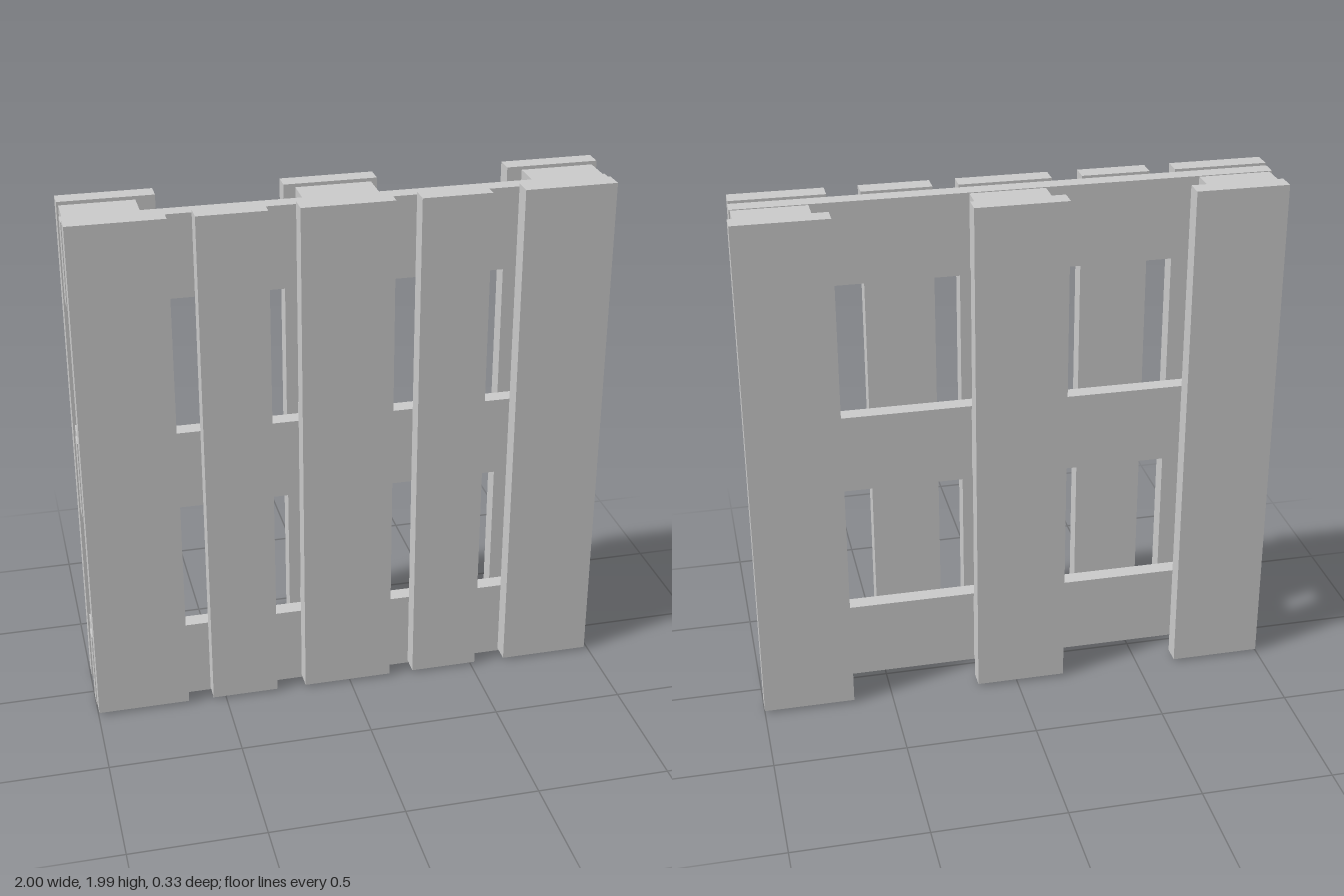
import * as THREE from 'three';

export function createModel() {
  const pallet = new THREE.Group();
  pallet.name = 'pallet';
  const material = new THREE.MeshStandardMaterial({ color: 0xcccccc, flatShading: true });

  // Box given by its [min, max] span on each axis
  function plank(name, [x0, x1], [y0, y1], [z0, z1]) {
    const mesh = new THREE.Mesh(new THREE.BoxGeometry(x1 - x0, y1 - y0, z1 - z0), material);
    mesh.position.set((x0 + x1) / 2, (y0 + y1) / 2, (z0 + z1) / 2);
    mesh.name = name;
    pallet.add(mesh);
  }

  // Depth layers, front to back
  const deckZ = [0.092, 0.165];
  const stringerZ = [0.028, 0.092];
  const blockZ = [-0.094, 0.028];
  const runnerZ = [-0.165, -0.094];
  const boardY = [0.01, 1.993];

  // Five deck boards: wide and narrow alternating
  const deckX = [[-0.997, -0.647], [-0.55, -0.295], [-0.182, 0.161], [0.256, 0.515], [0.637, 0.983]];
  deckX.forEach((x, i) => plank(`deckBoard${i + 1}`, x, boardY, deckZ));

  // Three cross stringers behind the deck
  const stringerY = [[0, 0.311], [0.832, 1.14], [1.67, 1.983]];
  stringerY.forEach((y, i) => plank(`stringer${i + 1}`, [-1, 0.985], y, stringerZ));

  // Nine spacer blocks
  const blockX = [[-0.99, -0.72], [-0.145, 0.135], [0.708, 0.981]];
  const blockY = [[0.018, 0.3], [0.848, 1.125], [1.697, 1.98]];
  for (const x of blockX) for (const y of blockY) plank('spacerBlock', x, y, blockZ);

  // Three runners at the back
  const runnerX = [[-0.997, -0.65], [-0.188, 0.157], [0.652, 1]];
  runnerX.forEach((x, i) => plank(`runner${i + 1}`, x, boardY, runnerZ));

  return pallet;
}
